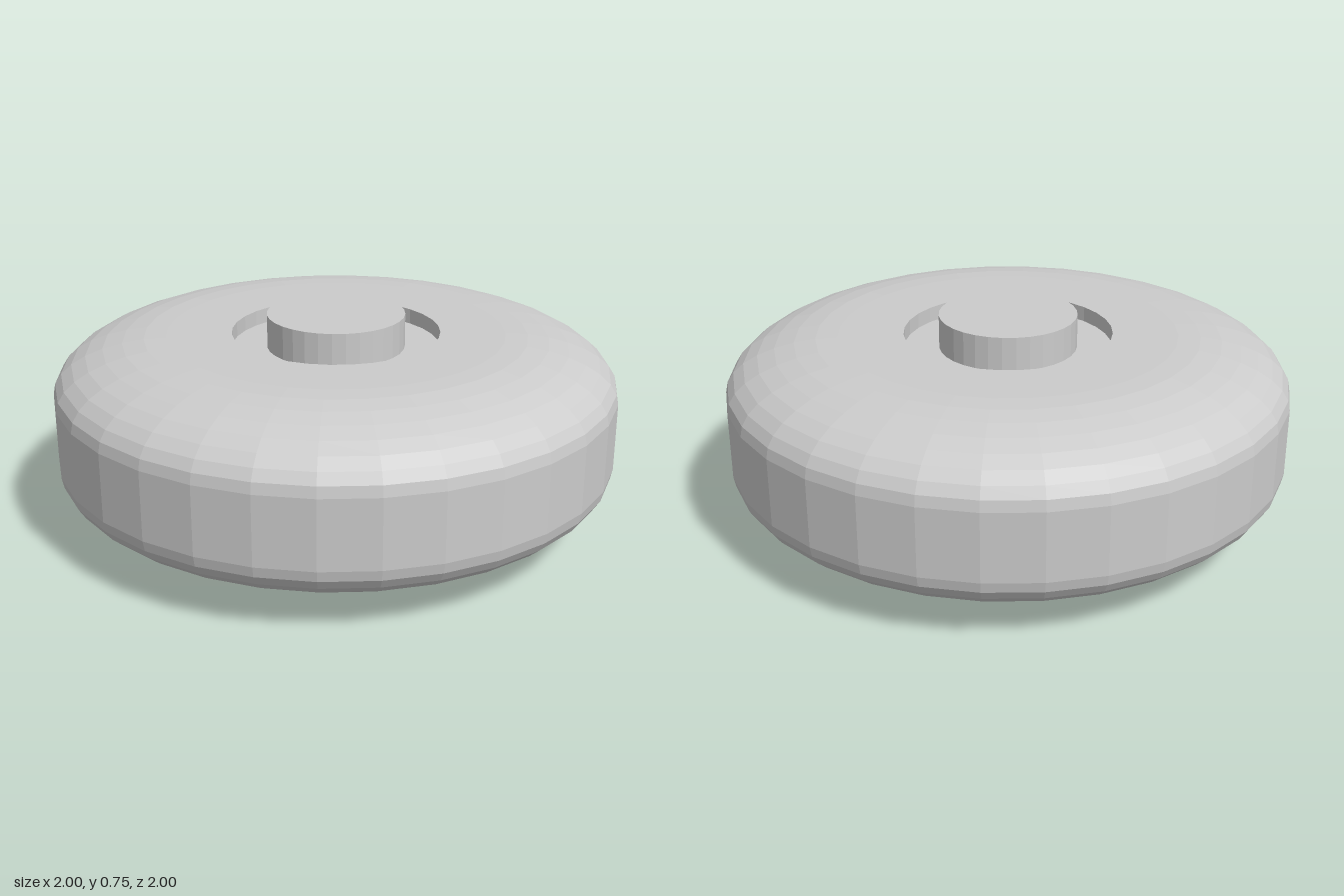
import * as THREE from 'three';

const SIDES = 32;
const HEIGHT = 0.75;        // full axle length
const BOTTOM = 0.065;       // underside of the tyre
const RECESS = 0.055;       // depth of the hub recess
const AXLE_R = 0.245, RECESS_R = 0.37;
const FLAT_R = 0.6, SHOULDER_H = 0.19, STEPS = 8;

// Half profile of the wheel underside, from the axle out to the tread
function lowerProfile() {
  const pts = [
    new THREE.Vector2(AXLE_R, BOTTOM + RECESS),
    new THREE.Vector2(RECESS_R, BOTTOM + RECESS),
    new THREE.Vector2(RECESS_R, BOTTOM),
  ];
  // elliptical shoulder
  for (let i = 0; i <= STEPS; i++) {
    const a = (i / STEPS) * Math.PI / 2;
    pts.push(new THREE.Vector2(
      FLAT_R + (1 - FLAT_R) * Math.sin(a),
      BOTTOM + SHOULDER_H * (1 - Math.cos(a))
    ));
  }
  return pts;
}

export function createModel() {
  const group = new THREE.Group();
  group.name = 'wheel';
  const material = new THREE.MeshStandardMaterial({ color: 0xcccccc, flatShading: true });

  // Tyre with a recess on both faces: the lower profile mirrored upwards
  const lower = lowerProfile();
  const upper = lower.map(p => new THREE.Vector2(p.x, HEIGHT - p.y)).reverse();
  const tyre = new THREE.Mesh(new THREE.LatheGeometry([...lower, ...upper], SIDES), material);
  tyre.name = 'tyre';
  group.add(tyre);

  // Axle running through the centre
  const axle = new THREE.Mesh(new THREE.CylinderGeometry(AXLE_R, AXLE_R, HEIGHT, SIDES), material);
  axle.name = 'axle';
  axle.position.y = HEIGHT / 2;
  group.add(axle);

  return group;
}
